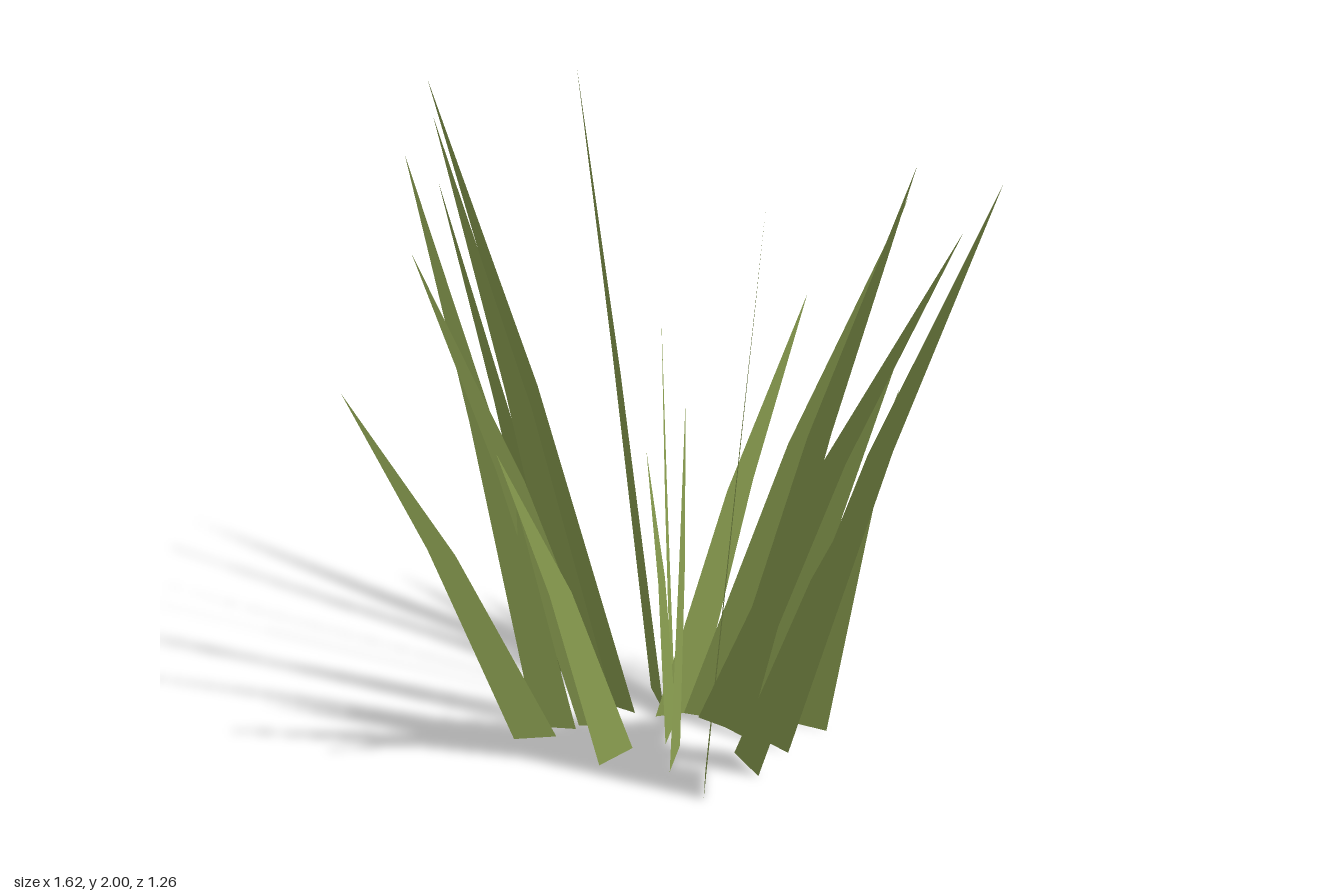
import * as THREE from 'three';

// One row per blade: inner base corner x, z, tip x, z, tip height
const BLADES = [
  [-0.13, -0.285, -0.47, -0.635, 1.6],
  [0.10, -0.10, -0.07, -0.55, 1.94],
  [0.11, -0.03, 0.15, -0.42, 1.21],
  [0.01, -0.11, -0.505, -0.365, 2.0],
  [-0.05, -0.10, -0.505, -0.23, 1.94],
  [-0.185, -0.065, -0.595, -0.07, 1.9],
  [-0.045, -0.055, -0.595, -0.06, 1.63],
  [-0.25, -0.04, -0.81, -0.015, 1.26],
  [-0.03, 0.06, -0.44, 0.37, 1.25],
  [0.13, -0.055, -0.09, 0.57, 1.33],
  [0.115, 0.075, 0.04, 0.42, 1.38],
  [0.165, 0.205, 0.177, 0.62, 1.97],
  [0.27, 0.14, 0.535, 0.63, 1.37],
  [0.35, 0.07, 0.81, 0.47, 1.92],
  [0.20, -0.05, 0.775, 0.33, 1.74],
  [0.245, -0.02, 0.645, 0.31, 1.92],
  [0.16, -0.08, 0.715, 0.07, 1.74],
  [0.32, -0.02, 0.715, 0.115, 1.33],
  [0.465, 0.02, 0.72, 0.10, 1.18],
  [0.07, -0.08, 0.52, -0.165, 1.37],
];
const BASE_WIDTH = 0.13;
const MID_WIDTH = 0.078;

// A flat bent strip: base quad plus tip triangle, leaning along its width and tilted sideways
function bladeGeometry([ax, az, tx, tz, height]) {
  const vx = tx - ax, vz = tz - az, v2 = vx * vx + vz * vz;
  const tilt = 0.06 * height;
  const reach = Math.sqrt(v2 - tilt * tilt);
  const dx = (reach * vx - tilt * vz) / v2;
  const dz = (reach * vz + tilt * vx) / v2;
  // along: distance in the leaning direction, rise: fraction of the height
  const point = (along, rise) => [
    ax + dx * along + dz * tilt * rise, height * rise, az + dz * along - dx * tilt * rise,
  ];

  const mid = BASE_WIDTH / 2 + 0.51 * (reach - BASE_WIDTH / 2);
  const a = point(0, 0);
  const b = point(BASE_WIDTH, 0);
  const c = point(mid - MID_WIDTH / 2, 0.56);
  const d = point(mid + MID_WIDTH / 2, 0.58);
  const tip = point(reach, 1);

  const geometry = new THREE.BufferGeometry();
  const corners = [a, b, d, a, d, c, c, d, tip].flat();
  geometry.setAttribute('position', new THREE.Float32BufferAttribute(corners, 3));
  geometry.computeVertexNormals();
  return geometry;
}

export function createModel() {
  const group = new THREE.Group();
  group.name = 'grassTuft';
  const green = new THREE.MeshStandardMaterial({
    color: 0x92a755, flatShading: true, side: THREE.DoubleSide,
  });
  green.name = 'grassGreen';

  BLADES.forEach((row, i) => {
    const blade = new THREE.Mesh(bladeGeometry(row), green);
    blade.name = `grassBlade${i + 1}`;
    group.add(blade);
  });
  return group;
}
